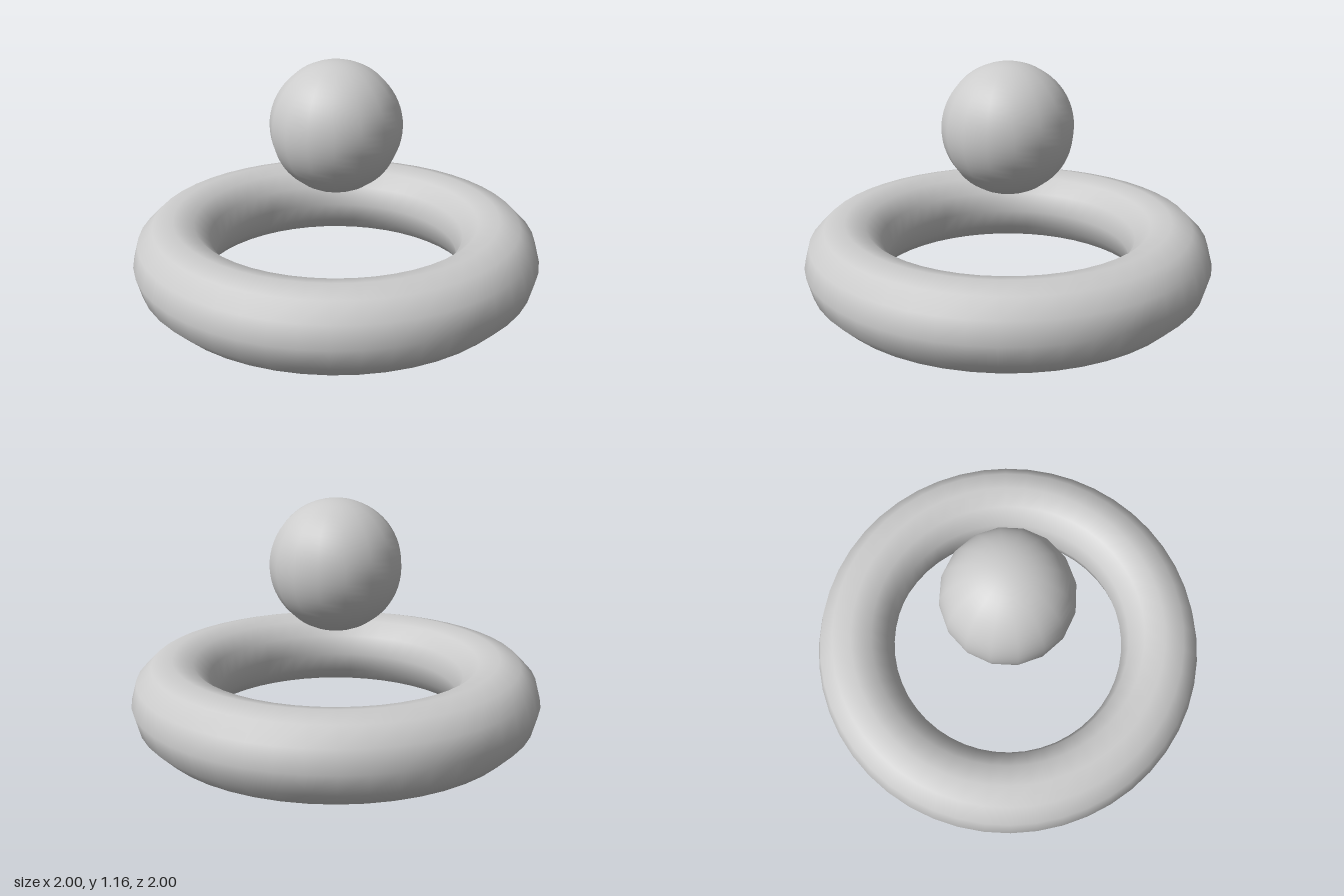
import * as THREE from 'three';

export function createModel() {
  const model = new THREE.Group();
  const material = new THREE.MeshStandardMaterial({ color: 0xcccccc });

  // Ring lying flat on the ground
  const ring = new THREE.Mesh(new THREE.TorusGeometry(0.8, 0.2, 12, 48), material);
  ring.name = 'ring';
  ring.rotation.x = -Math.PI / 2;
  ring.position.y = 0.2;

  // Ball floating above the middle of the ring
  const ball = new THREE.Mesh(new THREE.SphereGeometry(0.32, 16, 32), material);
  ball.name = 'ball';
  ball.position.y = 0.84;

  model.add(ring, ball);
  return model;
}
